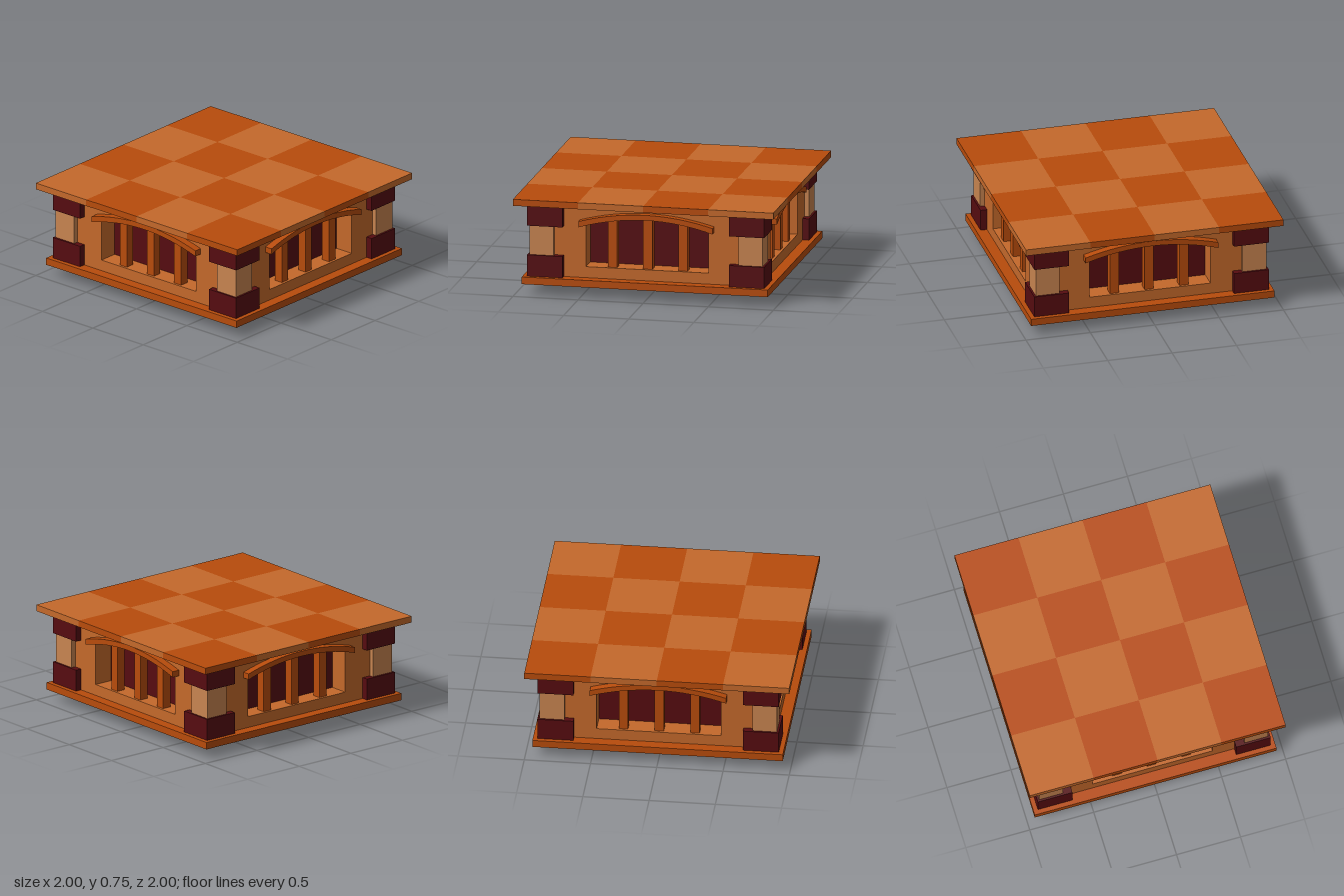
import * as THREE from 'three';

const mat = (name, color) => {
  const m = new THREE.MeshStandardMaterial({ color });
  m.name = name;
  return m;
};

export function createModel() {
  const lightOrange = mat('lightOrange', 0xc4692b);
  const darkOrange = mat('darkOrange', 0xb84c0c);
  const maroon = mat('maroon', 0x560c10);
  const tan = mat('tan', 0xc88450);

  const root = new THREE.Group();
  root.name = 'pavilionPlatform';

  const add = (parent, name, geometry, material) => {
    const mesh = new THREE.Mesh(geometry, material);
    mesh.name = name;
    parent.add(mesh);
    return mesh;
  };
  // Box given by its lower and upper limits on each axis
  const box = (parent, name, material, [x0, x1], [y0, y1], [z0, z1]) =>
    add(parent, name, new THREE.BoxGeometry(x1 - x0, y1 - y0, z1 - z0), material)
      .position.set((x0 + x1) / 2, (y0 + y1) / 2, (z0 + z1) / 2);

  // Chequered top slab
  const top = new THREE.Group();
  top.name = 'chequeredTop';
  root.add(top);
  for (let i = 0; i < 4; i++) {
    for (let j = 0; j < 4; j++) {
      const x = -1 + i * 0.5, z = -1 + j * 0.5;
      box(top, 'topTile', (i + j) % 2 ? lightOrange : darkOrange,
        [x, x + 0.5], [0.7, 0.75], [z, z + 0.5]);
    }
  }

  // Base slab, tapered underside and dark inner core
  box(root, 'baseSlab', darkOrange, [-0.945, 0.945], [0.085, 0.14], [-0.945, 0.945]);
  const taper = new THREE.CylinderGeometry(0.71 * Math.SQRT2, 0.475 * Math.SQRT2, 0.085, 4)
    .rotateY(Math.PI / 4).toNonIndexed();
  taper.computeVertexNormals();
  add(root, 'taperedUnderside', taper, maroon).position.y = 0.0425;
  box(root, 'innerCore', maroon, [-0.71, 0.71], [0.14, 0.7], [-0.71, 0.71]);

  // Lower and upper curves of the arched trim
  const archLow = x => 0.62 - 0.08 * (x / 0.515) ** 2;
  const archHigh = x => 0.66 - 0.075 * (x / 0.515) ** 2;
  const curve = (f, from, to, n = 16) => Array.from({ length: n + 1 }, (_, i) => {
    const x = from + (to - from) * i / n;
    return new THREE.Vector2(x, f(x));
  });
  const extrude = (shape, z0, z1) =>
    new THREE.ExtrudeGeometry(shape, { depth: z1 - z0, bevelEnabled: false }).translate(0, 0, z0);

  // Wall with an arched opening
  const wallShape = new THREE.Shape([[-0.72, 0.14], [0.72, 0.14], [0.72, 0.7], [-0.72, 0.7]]
    .map(p => new THREE.Vector2(...p)));
  wallShape.holes.push(new THREE.Path([
    new THREE.Vector2(0.47, 0.225), new THREE.Vector2(-0.47, 0.225),
    ...curve(archLow, -0.47, 0.47),
  ]));
  const wallGeometry = extrude(wallShape, 0.7, 0.86);
  const trimGeometry = extrude(new THREE.Shape([
    ...curve(archLow, -0.515, 0.515), ...curve(archHigh, 0.515, -0.515),
  ]), 0.84, 0.92);

  for (let k = 0; k < 4; k++) {
    const side = new THREE.Group();
    side.name = 'side';
    side.rotation.y = k * Math.PI / 2;
    root.add(side);

    add(side, 'wall', wallGeometry, lightOrange);
    add(side, 'archTrim', trimGeometry, darkOrange);
    for (const x of [-0.27, 0, 0.27]) {
      box(side, 'windowPillar', darkOrange, [x - 0.035, x + 0.035], [0.225, 0.625], [0.77, 0.84]);
    }

    // Corner post between two heavy blocks
    box(side, 'cornerPost', tan, [0.71, 0.895], [0.3, 0.54], [0.71, 0.895]);
    box(side, 'lowerCornerBlock', maroon, [0.64, 0.91], [0.14, 0.305], [0.64, 0.91]);
    box(side, 'upperCornerBlock', maroon, [0.64, 0.91], [0.53, 0.7], [0.64, 0.91]);
  }
  return root;
}
